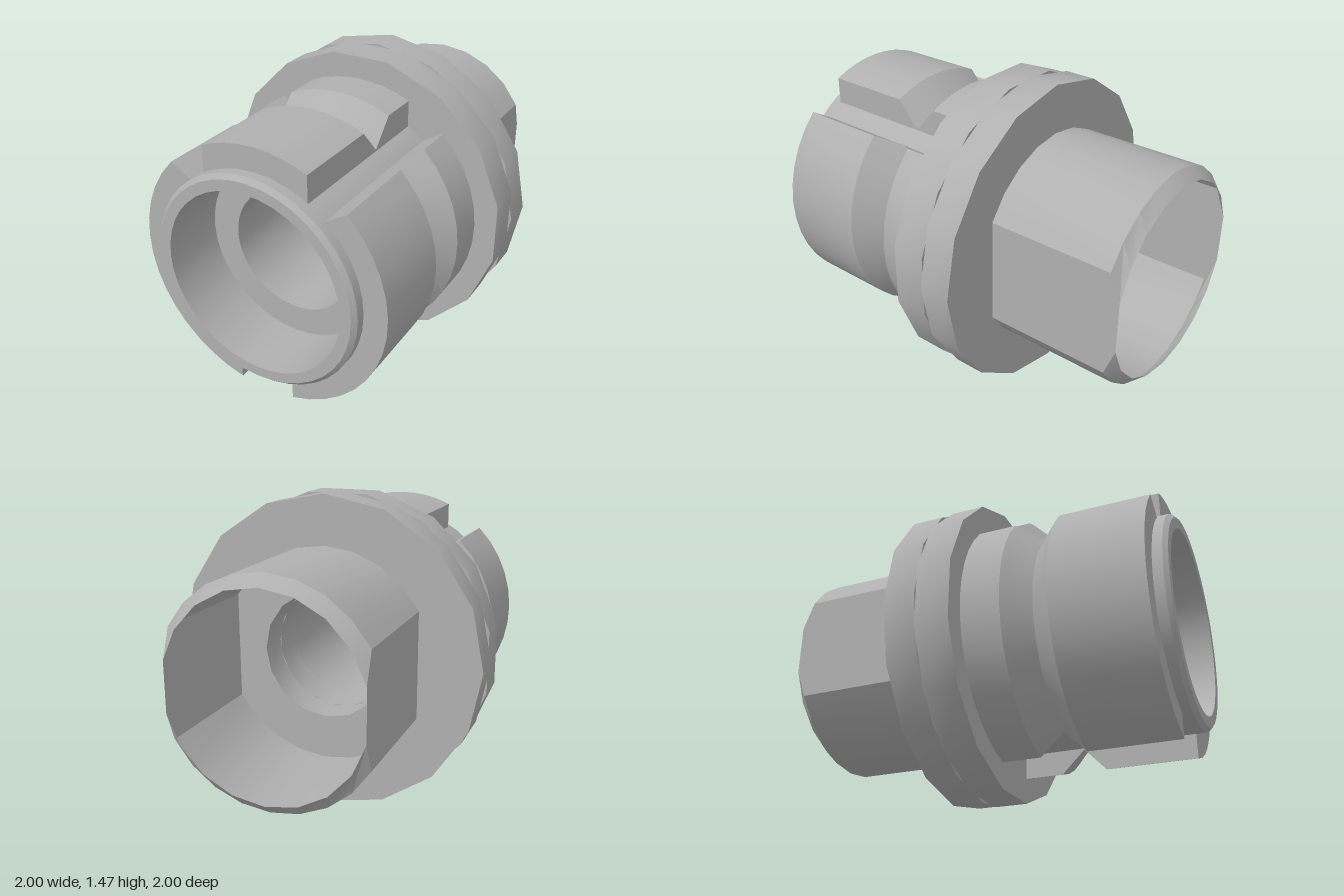
import * as THREE from 'three';
import { toCreasedNormals } from 'three/addons/utils/BufferGeometryUtils.js';

// Local frame: z runs along the coupling axis (open socket end is +z), y is up.
const gray = new THREE.MeshStandardMaterial({ color: 0xb0b0b0, side: THREE.DoubleSide });
gray.name = 'metal gray';

const BODY = 0.505, LUG = 0.615, FLANGE = 0.733, HOLE = 0.3;

function addMesh(group, name, geometry, crease = 0.5) {
  const mesh = new THREE.Mesh(toCreasedNormals(geometry, crease), gray);
  mesh.name = name;
  group.add(mesh);
  return mesh;
}

// Revolve [radius, z] pairs about the z axis
function turned(profile, sides) {
  const points = profile.map(([r, z]) => new THREE.Vector2(r, z));
  return new THREE.LatheGeometry(points, sides).rotateX(Math.PI / 2);
}

// Skin rows of equally many points; rows go towards -z, points counterclockwise from +z
function loft(rows, closed) {
  const n = rows[0].length, index = [];
  for (let i = 0; i < rows.length - 1; i++) {
    for (let j = 0; j < (closed ? n : n - 1); j++) {
      const k = (j + 1) % n;
      const a = i * n + j, b = i * n + k, c = (i + 1) * n + j, d = (i + 1) * n + k;
      index.push(a, c, b, b, c, d);
    }
  }
  const geometry = new THREE.BufferGeometry();
  geometry.setAttribute('position', new THREE.Float32BufferAttribute(rows.flat(2), 3));
  geometry.setIndex(index);
  return geometry;
}

// Arc of points at one radius and depth
function arc(r, from, to, z, steps) {
  const points = [];
  for (let i = 0; i <= steps; i++) {
    const a = from + (to - from) * i / steps;
    points.push([r * Math.cos(a), r * Math.sin(a), z]);
  }
  return points;
}

// Raised lug with a V groove; start and end give the side wall angle at each radius
function lug(start, end, steps) {
  const inner = 0.47;
  const sections = [[inner, 0.8], [LUG, 0.8], [LUG, 0.375], [BODY + 0.004, 0.27], [LUG, 0.16], [LUG, -0.05]];
  const rows = sections.map(([r, z]) => [
    arc(inner, start(inner), end(inner), z, 1)[0],
    ...arc(r, start(r), end(r), z, steps),
    arc(inner, start(inner), end(inner), z, 1)[1],
  ]);
  return loft(rows, false);
}

export function createModel() {
  const model = new THREE.Group();
  model.name = 'pipeCoupling';
  const coupling = new THREE.Group();
  coupling.name = 'coupling';
  coupling.position.y = FLANGE;
  coupling.rotation.y = -Math.PI / 4;
  model.add(coupling);

  // Round socket with a stepped bore
  addMesh(coupling, 'socketBody', turned([
    [HOLE, -0.33], [BODY - 0.05, -0.33], [BODY, -0.28], [BODY, 0.845], [BODY - 0.02, 0.865],
    [0.435, 0.865], [0.435, 0.56], [HOLE, 0.56], [HOLE, -0.33],
  ], 40));

  // Flange made of two coarse discs turned slightly against each other
  const halves = [['flangeFront', -0.185, -0.025, 0.5], ['flangeBack', -0.335, -0.185, 0]];
  for (const [name, z0, z1, turn] of halves) {
    const disc = addMesh(coupling, name, turned([
      [HOLE, z0], [FLANGE, z0], [FLANGE, z1], [HOLE, z1], [HOLE, z0],
    ], 16), 0.6);
    disc.rotation.z = turn * Math.PI / 8;
  }

  // Locking lugs: one on top, two wrapping the sides down to the bottom slot
  const topEdge = r => Math.acos(0.255 / r);
  const sideTop = r => THREE.MathUtils.degToRad(49 - (r - BODY) / 0.11 * 3.5);
  const sideBottom = r => -Math.acos(0.14 / r);
  addMesh(coupling, 'topLug', lug(topEdge, r => Math.PI - topEdge(r), 8));
  addMesh(coupling, 'leftLug', lug(sideBottom, sideTop, 14));
  addMesh(coupling, 'rightLug', lug(r => Math.PI - sideTop(r), r => Math.PI - sideBottom(r), 14));

  // Thin pipe with two side flats and a chamfered end
  const flat = 0.44;
  const rows = [[BODY, -0.33], [BODY, -0.926], [0.455, -0.976]].map(([r, z]) => {
    const a = Math.acos(flat / r);
    return [...arc(r, a, Math.PI - a, z, 8), ...arc(r, Math.PI + a, 2 * Math.PI - a, z, 8)];
  });
  addMesh(coupling, 'flattedPipe', loft(rows, true), 0.4);

  return model;
}
